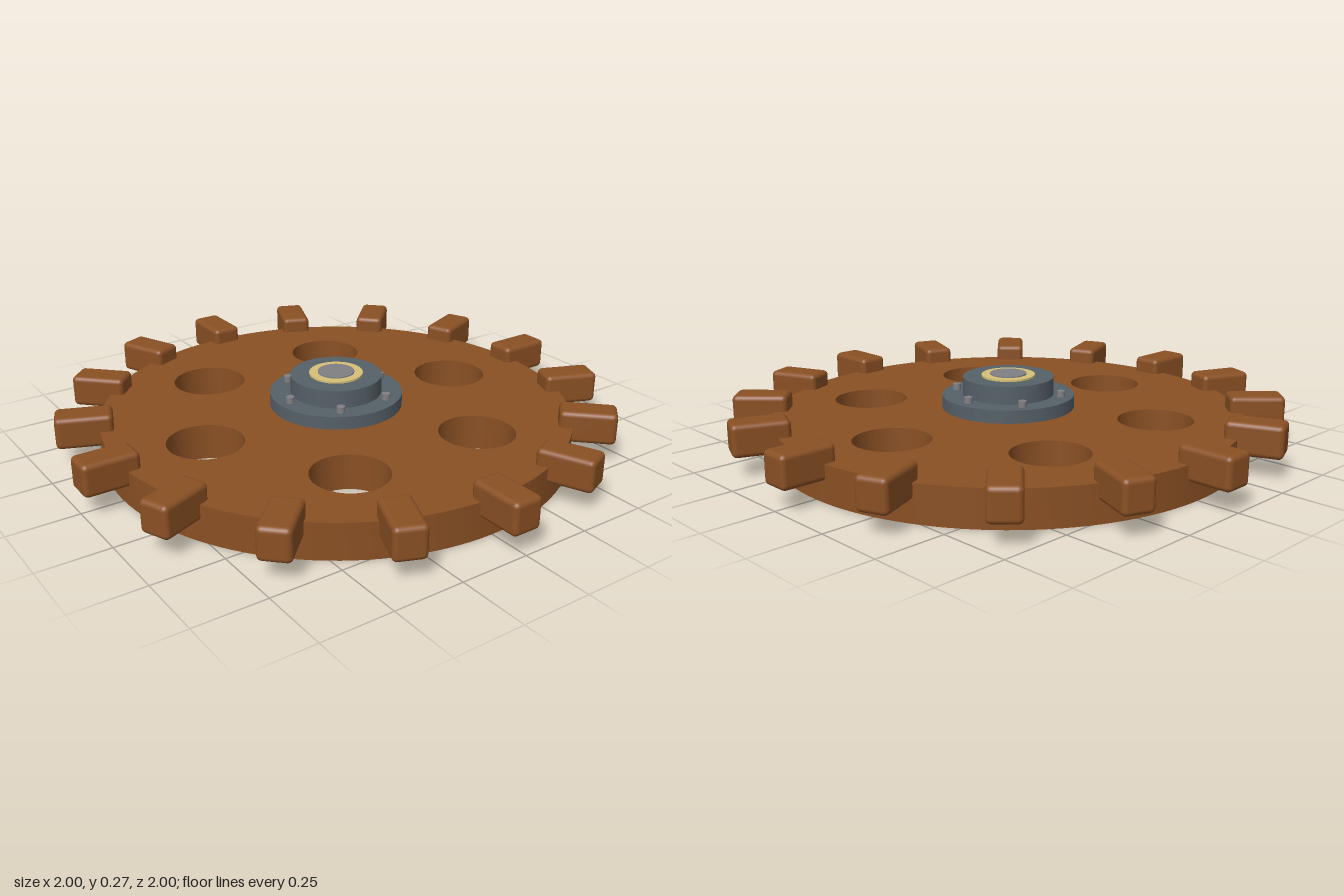
import * as THREE from 'three';
import { toCreasedNormals } from 'three/addons/utils/BufferGeometryUtils.js';
import { RoundedBoxGeometry } from 'three/addons/geometries/RoundedBoxGeometry.js';

const material = (name, color) => {
  const m = new THREE.MeshStandardMaterial({ color });
  m.name = name;
  return m;
};

// Round plate from y0 to y1 with circular holes given as [x, z, radius]
function plate(radius, y0, y1, holes) {
  const shape = new THREE.Shape().absarc(0, 0, radius, 0, Math.PI * 2);
  for (const [x, z, r] of holes) {
    shape.holes.push(new THREE.Path().absarc(x, -z, r, 0, Math.PI * 2, true));
  }
  const g = new THREE.ExtrudeGeometry(shape, { depth: y1 - y0, bevelEnabled: false, curveSegments: 64 });
  g.rotateX(-Math.PI / 2).translate(0, y0, 0);
  return toCreasedNormals(g, 0.6);
}

const cylinder = (r, y0, y1, segments = 48) =>
  new THREE.CylinderGeometry(r, r, y1 - y0, segments).translate(0, (y0 + y1) / 2, 0);

export function createModel() {
  const model = new THREE.Group();
  model.name = 'toothedWheel';
  const wood = material('warm brown', 0x8a5024);
  const steel = material('dark blue grey', 0x566068);
  const brass = material('pale brass', 0xd6c078);
  const grey = material('mid grey', 0x808084);

  const add = (name, geometry, mat, parent = model) => {
    const mesh = new THREE.Mesh(geometry, mat);
    mesh.name = name;
    parent.add(mesh);
    return mesh;
  };

  // Wheel disc with an axle hole and six lightening holes
  const holes = [[0, 0, 0.155]];
  for (let i = 0; i < 6; i++) {
    const a = (i * Math.PI) / 3;
    holes.push([0.54 * Math.cos(a), 0.54 * Math.sin(a), 0.134]);
  }
  add('wheelDisc', plate(0.85, 0, 0.13, holes), wood);

  // Sixteen rounded teeth around the rim
  const teeth = new THREE.Group();
  teeth.name = 'teeth';
  model.add(teeth);
  const toothGeometry = new RoundedBoxGeometry(0.2, 0.116, 0.11, 3, 0.018).translate(0.9, 0.131, 0);
  for (let i = 0; i < 16; i++) {
    add('tooth', toothGeometry, wood, teeth).rotation.y = (i * Math.PI) / 8;
  }

  // Bearing hub: collar, flange, bushing and shaft
  const hub = new THREE.Group();
  hub.name = 'hub';
  model.add(hub);
  add('hubCollar', plate(0.165, 0.125, 0.255, [[0, 0, 0.097]]), steel, hub);
  add('hubFlange', plate(0.24, 0.143, 0.19, [[0, 0, 0.16]]), steel, hub);
  add('bushing', plate(0.097, 0.122, 0.262, [[0, 0, 0.066]]), brass, hub);
  add('shaft', cylinder(0.066, 0.12, 0.266), grey, hub);

  // Six bolts on the flange
  const boltGeometry = cylinder(0.015, 0.185, 0.212, 16);
  for (let i = 0; i < 6; i++) {
    const a = (i * Math.PI) / 3;
    add('bolt', boltGeometry, grey, hub).position.set(0.197 * Math.cos(a), 0, 0.197 * Math.sin(a));
  }
  return model;
}
